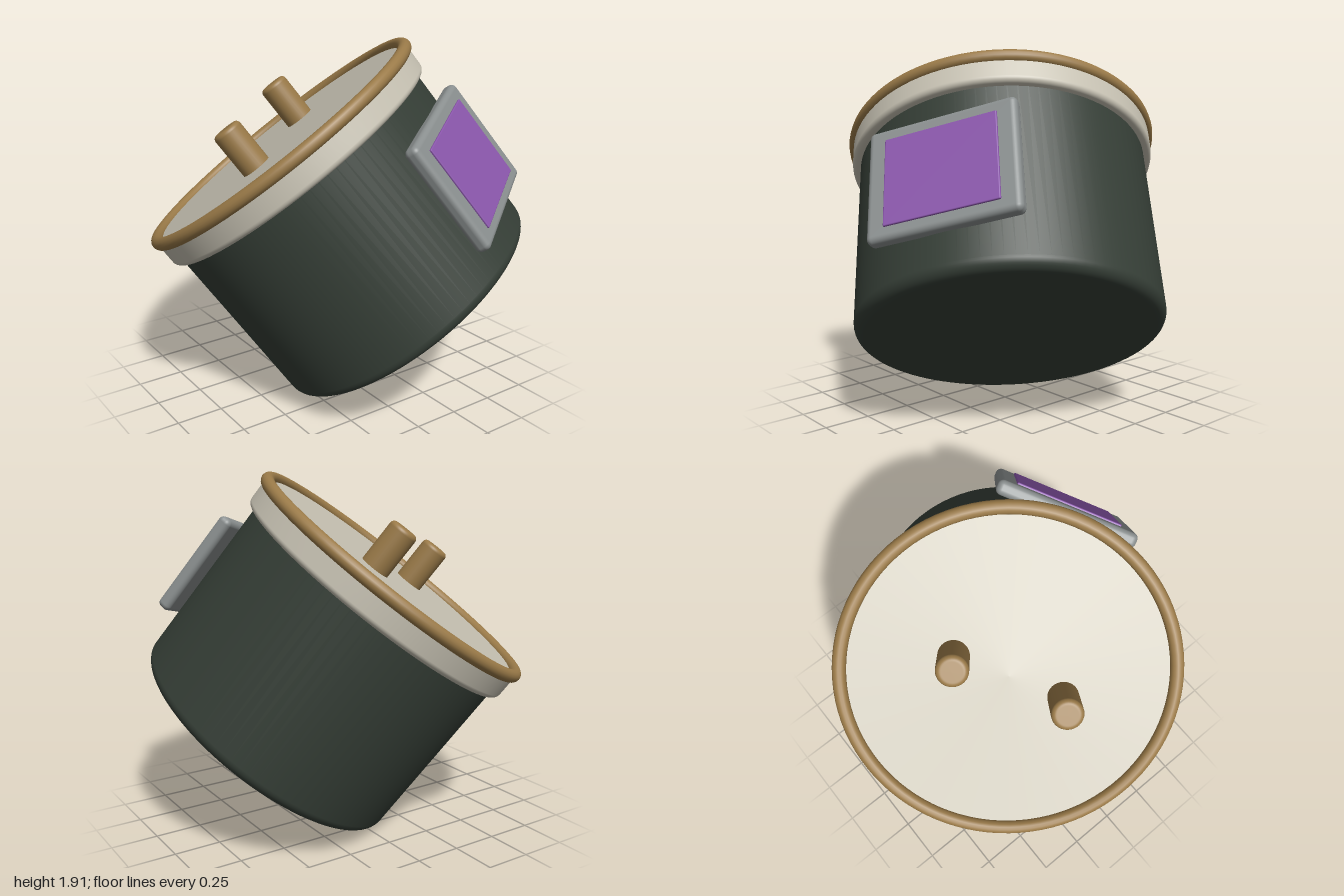
import * as THREE from 'three';
import { RoundedBoxGeometry } from 'three/addons/geometries/RoundedBoxGeometry.js';

const material = (name, color) => {
  const m = new THREE.MeshStandardMaterial({ color });
  m.name = name;
  return m;
};

// Solid of revolution: a cylinder with separately rounded bottom and top edges
function roundedCylinder(radius, bottom, top, bevelBottom, bevelTop, segments) {
  const points = [new THREE.Vector2(0, bottom)];
  const corner = (cy, bevel, from) => {
    for (let i = 0; i <= 8; i++) {
      const t = from + (i / 8) * (Math.PI / 2);
      points.push(new THREE.Vector2(radius - bevel + bevel * Math.cos(t), cy + bevel * Math.sin(t)));
    }
  };
  // extra points beside each corner keep the flat faces evenly shaded
  points.push(new THREE.Vector2(radius - bevelBottom - 0.005, bottom));
  corner(bottom + bevelBottom, bevelBottom, -Math.PI / 2);
  corner(top - bevelTop, bevelTop, 0);
  points.push(new THREE.Vector2(radius - bevelTop - 0.005, top), new THREE.Vector2(0, top));
  return new THREE.LatheGeometry(points, segments);
}

export function createModel() {
  const darkGreen = material('dark green', 0x353e36);
  const cream = material('cream', 0xc6c1b2);
  const brass = material('brass', 0x9a7a48);
  const grey = material('grey', 0x8a8f8f);
  const purple = material('purple', 0x8a56ab);

  const model = new THREE.Group();
  model.name = 'model';
  const canister = new THREE.Group();
  canister.name = 'canister';
  model.add(canister);

  const add = (name, geometry, mat, x = 0, y = 0, z = 0) => {
    const mesh = new THREE.Mesh(geometry, mat);
    mesh.name = name;
    mesh.position.set(x, y, z);
    canister.add(mesh);
    return mesh;
  };

  // Upright canister, with the lid surface at local y = 0
  add('body', roundedCylinder(0.8, -1.145, -0.05, 0.06, 0.01, 96), darkGreen);
  add('lid', roundedCylinder(0.845, -0.155, 0, 0.03, 0.01, 96), cream);
  add('rim', new THREE.TorusGeometry(0.835, 0.035, 16, 96), brass).rotation.x = Math.PI / 2;

  // Two terminals on the lid
  for (const side of [-1, 1]) {
    add(side < 0 ? 'rightTerminal' : 'leftTerminal',
      roundedCylinder(0.08, -0.02, 0.25, 0.005, 0.025, 32), brass, side * 0.293);
  }

  // Framed panel on the front of the body
  add('panelFrame', new RoundedBoxGeometry(0.77, 0.62, 0.08, 4, 0.03), grey, 0, -0.617, 0.81);
  add('panel', new RoundedBoxGeometry(0.58, 0.48, 0.04, 3, 0.006), purple, 0, -0.62, 0.84);

  // Tilt the canister as a whole
  const up = new THREE.Vector3(-0.491, 0.792, -0.363).normalize();
  const front = new THREE.Vector3(0.804, 0.252, -0.538).cross(up).normalize();
  const side = new THREE.Vector3().crossVectors(up, front);
  canister.quaternion.setFromRotationMatrix(new THREE.Matrix4().makeBasis(side, up, front));
  canister.position.set(-0.24, 1.37, -0.18);

  return model;
}
